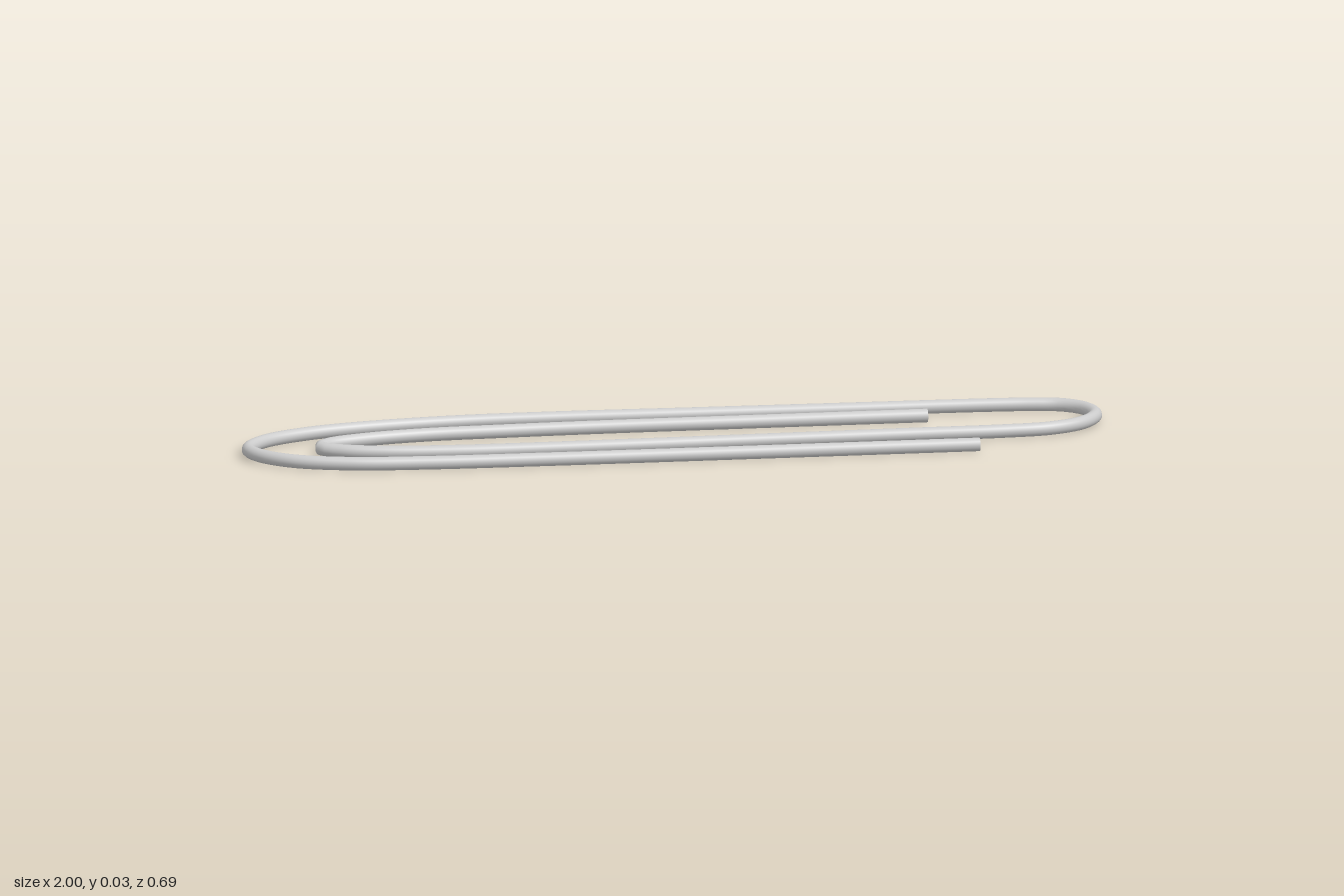
import * as THREE from 'three';

const RADIUS = 0.016;

// Centre line of the bent wire as [x, z], from the outer end to the inner end
const PATH = [
  // outer leg
  [0.725, 0.073], [0.4, 0.136], [0.05, 0.203], [-0.29, 0.267], [-0.56, 0.313],
  // large bend
  [-0.74, 0.33], [-0.88, 0.308], [-0.962, 0.25], [-0.984, 0.195], [-0.95, 0.117],
  [-0.853, 0.037], [-0.72, -0.026], [-0.505, -0.095], [-0.29, -0.141],
  // long back leg
  [0.05, -0.199], [0.4, -0.26], [0.74, -0.319],
  // opposite bend
  [0.835, -0.33], [0.9, -0.328], [0.953, -0.298], [0.983, -0.235], [0.957, -0.155], [0.885, -0.096], [0.778, -0.062],
  // middle leg
  [0.564, -0.018], [0.25, 0.048], [-0.05, 0.112], [-0.345, 0.172], [-0.505, 0.2],
  // small inner bend
  [-0.666, 0.215], [-0.762, 0.206], [-0.815, 0.181], [-0.8, 0.143], [-0.72, 0.092],
  [-0.585, 0.039], [-0.398, -0.008], [-0.184, -0.056],
  // inner leg
  [0.2, -0.132], [0.59, -0.208],
];

export function createModel() {
  const group = new THREE.Group();
  group.name = 'paperClip';
  const material = new THREE.MeshStandardMaterial({ color: 0xcccccc });

  const points = PATH.map(([x, z]) => new THREE.Vector3(x, RADIUS, z));
  const curve = new THREE.CatmullRomCurve3(points, false, 'centripetal');
  curve.arcLengthDivisions = 1000;

  // Round wire
  const wire = new THREE.Mesh(new THREE.TubeGeometry(curve, 400, RADIUS, 20), material);
  wire.name = 'wire';
  group.add(wire);

  // Flat cut ends
  for (const [name, t, direction] of [['outerEnd', 0, -1], ['innerEnd', 1, 1]]) {
    const cap = new THREE.Mesh(new THREE.CircleGeometry(RADIUS, 20), material);
    cap.name = name;
    const outward = curve.getTangentAt(t).multiplyScalar(direction);
    cap.position.copy(curve.getPointAt(t));
    cap.quaternion.setFromUnitVectors(new THREE.Vector3(0, 0, 1), outward);
    group.add(cap);
  }
  return group;
}
